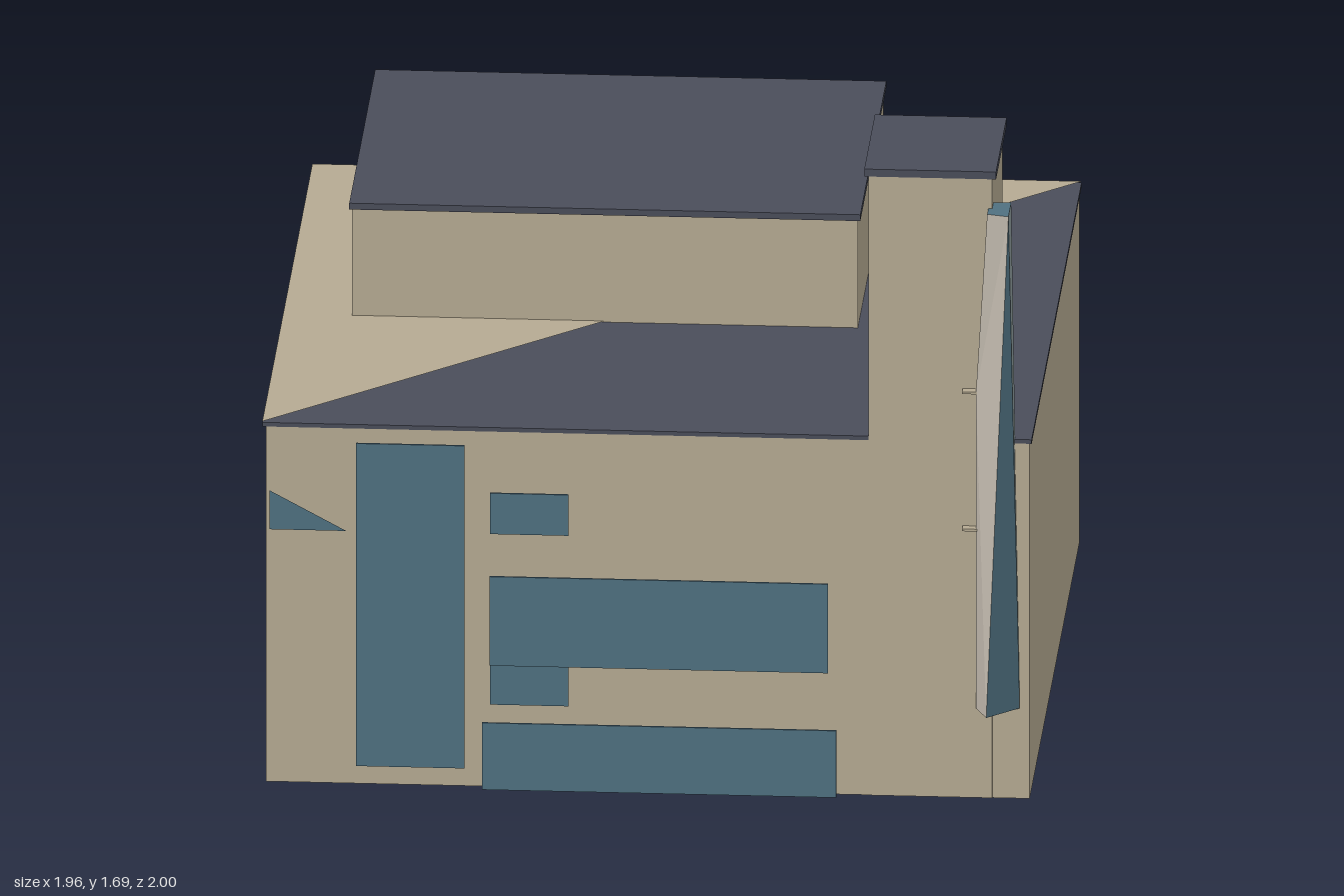
import * as THREE from 'three';

const paint = (name, color, side = THREE.FrontSide) => {
  const m = new THREE.MeshStandardMaterial({ color, side });
  m.name = name;
  return m;
};

export function createModel() {
  const group = new THREE.Group();
  const wall = paint('sandWall', 0xb5aa92, THREE.DoubleSide);
  const roof = paint('slateRoof', 0x4a4d5a);
  const glass = paint('blueGlass', 0x4f7080, THREE.DoubleSide);
  const paleGlass = paint('paleGlass', 0x8c9a9a, THREE.DoubleSide);
  const stone = paint('paleStone', 0xc0b8ac, THREE.DoubleSide);

  const add = (name, geometry, material) => {
    const mesh = new THREE.Mesh(geometry, material);
    mesh.name = name;
    group.add(mesh);
    return mesh;
  };
  // Box given by its minimum and maximum on each axis
  const block = (name, material, [x0, x1], [y0, y1], [z0, z1]) =>
    add(name, new THREE.BoxGeometry(x1 - x0, y1 - y0, z1 - z0), material)
      .position.set((x0 + x1) / 2, (y0 + y1) / 2, (z0 + z1) / 2);
  // Flat polygon from corners in order, split as a fan
  const face = (name, material, ...corners) => {
    const pts = [];
    for (let i = 1; i < corners.length - 1; i++) pts.push(...corners[0], ...corners[i], ...corners[i + 1]);
    const g = new THREE.BufferGeometry();
    g.setAttribute('position', new THREE.Float32BufferAttribute(pts, 3));
    g.computeVertexNormals();
    add(name, g, material);
  };

  // Building volumes
  block('mainHall', wall, [-0.97, 0.97], [0, 0.957], [-0.985, 0.915]);
  block('upperStorey', wall, [-0.805, 0.48], [0.95, 1.26], [-0.865, 0.115]);
  block('tower', wall, [0.56, 0.875], [0, 1.67], [0.525, 0.917]);

  // Roof slabs, the main one half sand coloured along its diagonal
  block('mainRoof', roof, [-0.98, 0.975], [0.957, 0.968], [-1, 0.915]);
  block('upperRoof', roof, [-0.812, 0.487], [1.258, 1.275], [-0.875, 0.12]);
  block('towerRoof', roof, [0.55, 0.885], [1.67, 1.69], [0.515, 0.92]);
  face('roofSandHalf', wall, [-0.98, 0.971, -1], [-0.98, 0.971, 0.915], [0.975, 0.971, -1]);

  // Front windows and doors
  const panels = [
    ['tallWindow', -0.74, -0.465, 0.055, 0.925, 0.935],
    ['upperSmallWindow', -0.4, -0.2, 0.69, 0.8, 0.938],
    ['wideWindow', -0.4, 0.46, 0.34, 0.58, 0.952],
    ['lowerSmallWindow', -0.4, -0.2, 0.23, 0.34, 0.938],
    ['entrance', -0.42, 0.48, 0, 0.18, 0.938],
  ];
  for (const [name, x0, x1, y0, y1, z] of panels)
    block(name, glass, [x0, x1], [y0, y1], [z - 0.003, z + 0.003]);
  face('cornerWindow', glass, [-0.96, 0.69, 0.942], [-0.765, 0.69, 0.942], [-0.96, 0.795, 0.942]);

  // Twisted blade at the tower corner
  const top = [[0.865, 1.59, 0.96], [0.92, 1.59, 0.975], [0.92, 1.59, 0.87], [0.865, 1.59, 0.87]];
  const low = [[0.835, 0.245, 0.93], [0.865, 0.245, 0.998], [0.945, 0.245, 0.92], [0.84, 0.245, 0.915]];
  const bend = [0.835, 1.1, 0.94];
  face('bladeFront', stone, bend, low[0], low[1], top[1], top[0]);
  face('bladeGlass', glass, top[1], low[1], low[2]);
  face('bladeSide', paleGlass, top[1], low[2], top[2]);
  face('bladeBack', wall, top[2], low[2], low[3], top[3]);
  face('bladeInner', stone, top[3], low[3], low[0], bend, top[0]);
  face('bladeTop', glass, ...top);
  face('bladeBase', glass, ...low.slice().reverse());

  // Brackets that hold the blade
  for (const y of [0.73, 1.1])
    block('bladeBracket', wall, [0.8, 0.84], [y - 0.003, y + 0.003], [0.915, 0.942]);

  return group;
}
